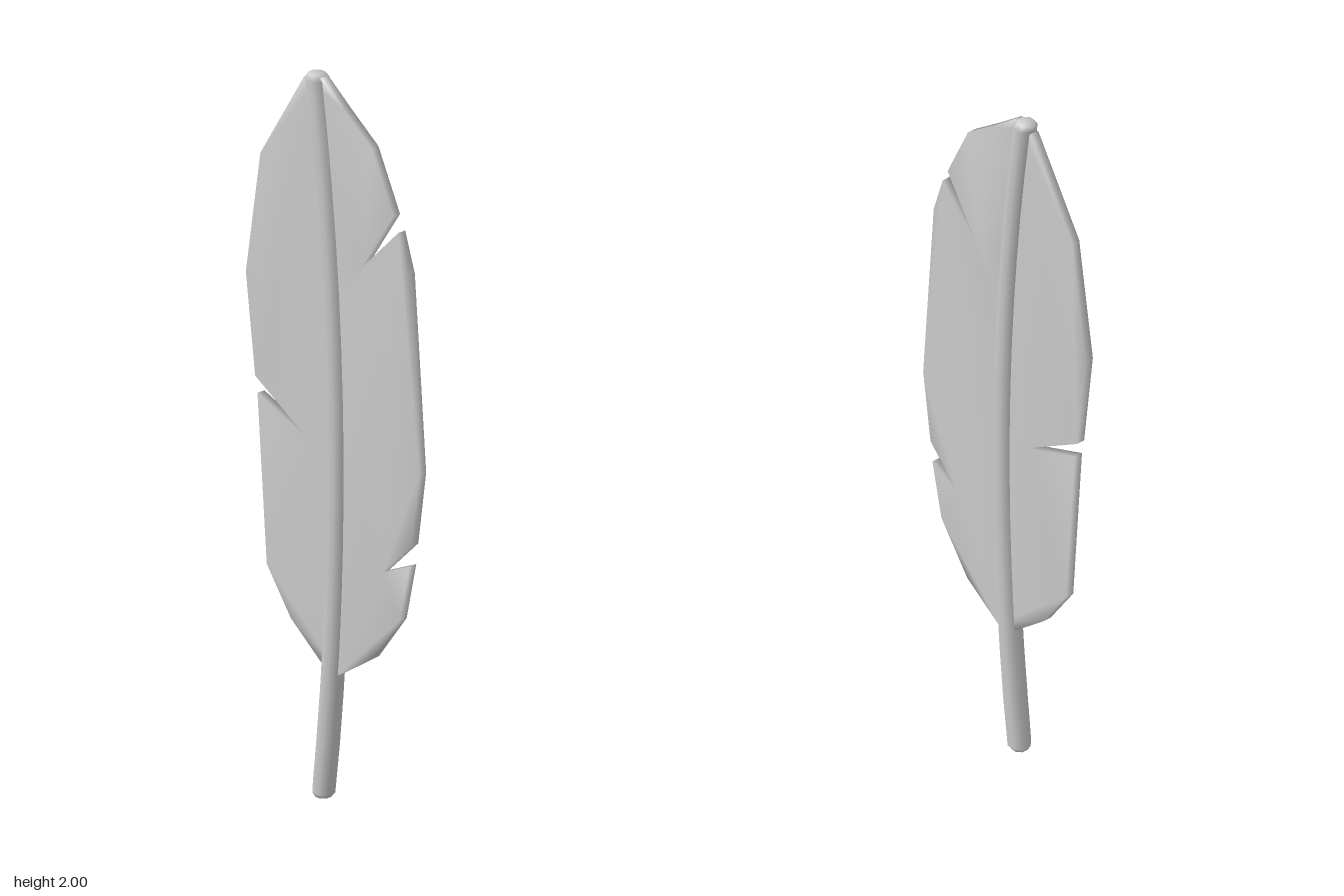
import * as THREE from 'three';
import { mergeVertices } from 'three/addons/utils/BufferGeometryUtils.js';

const TURN = 0.38;      // the flat of the feather is turned about the upright axis
const THICK = 0.025;    // vane thickness
const RADIUS = 0.033;   // shaft radius

// Sideways bow of the shaft at a given height
const bow = (y) => {
  const t = y - 1;
  return 0.008 - 0.068 * t * t - 0.012 * t;
};

// Weld corners so the surface shades smoothly
function smooth(geometry) {
  geometry.deleteAttribute('normal');
  geometry.deleteAttribute('uv');
  const welded = mergeVertices(geometry, 1e-4);
  welded.computeVertexNormals();
  return welded;
}

// One half of the vane: outer edge listed bottom to top, inner edge follows the shaft
function vane(edge) {
  const points = edge.map(([x, y]) => new THREE.Vector2(x / 0.94, y));
  const y0 = edge[0][1] + 0.02, y1 = 1.975;
  for (let i = 0; i <= 8; i++) {
    const y = y1 + (y0 - y1) * (i / 8);
    points.push(new THREE.Vector2(bow(y), y));
  }
  const geometry = new THREE.ExtrudeGeometry(new THREE.Shape(points), { depth: THICK, bevelEnabled: false });
  geometry.translate(0, 0, -THICK / 2);
  return smooth(geometry);
}

// Eight-sided shaft with softly rounded ends, bent along the bow
function shaft() {
  const profile = [[0, 0], [0.022, 0], [RADIUS - 0.001, 0.014]];
  for (let i = 1; i < 14; i++) profile.push([RADIUS, 0.014 + (1.972 * i) / 14]);
  profile.push([RADIUS, 1.986], [0.024, 2], [0, 2]);
  const geometry = new THREE.LatheGeometry(profile.map(([r, y]) => new THREE.Vector2(r, y)), 8, Math.PI / 8);
  const p = geometry.attributes.position;
  for (let i = 0; i < p.count; i++) p.setX(i, p.getX(i) + bow(p.getY(i)));
  return smooth(geometry);
}

export function createModel() {
  const feather = new THREE.Group();
  feather.name = 'feather';
  const material = new THREE.MeshStandardMaterial({ color: 0xcccccc });

  const add = (name, geometry) => {
    const mesh = new THREE.Mesh(geometry, material);
    mesh.name = name;
    feather.add(mesh);
  };

  add('shaft', shaft());

  // Left half, with two splits
  add('leftVane', vane([
    [0.015, 0.355], [0.135, 0.44], [0.23, 0.575], [0.263, 0.735], [0.17, 0.69],
    [0.27, 0.795], [0.297, 1.0], [0.258, 1.54], [0.225, 1.65], [0.095, 1.51],
    [0.207, 1.69], [0.133, 1.855], [0.04, 1.93], [-0.04, 1.998],
  ]));

  // Right half, with one split
  add('rightVane', vane([
    [-0.035, 0.37], [-0.145, 0.465], [-0.228, 0.59], [-0.26, 1.055], [-0.085, 0.98],
    [-0.268, 1.1], [-0.3, 1.38], [-0.25, 1.725], [-0.1, 1.983],
  ]));

  feather.rotation.y = -TURN;
  const model = new THREE.Group();
  model.name = 'model';
  model.add(feather);
  return model;
}
